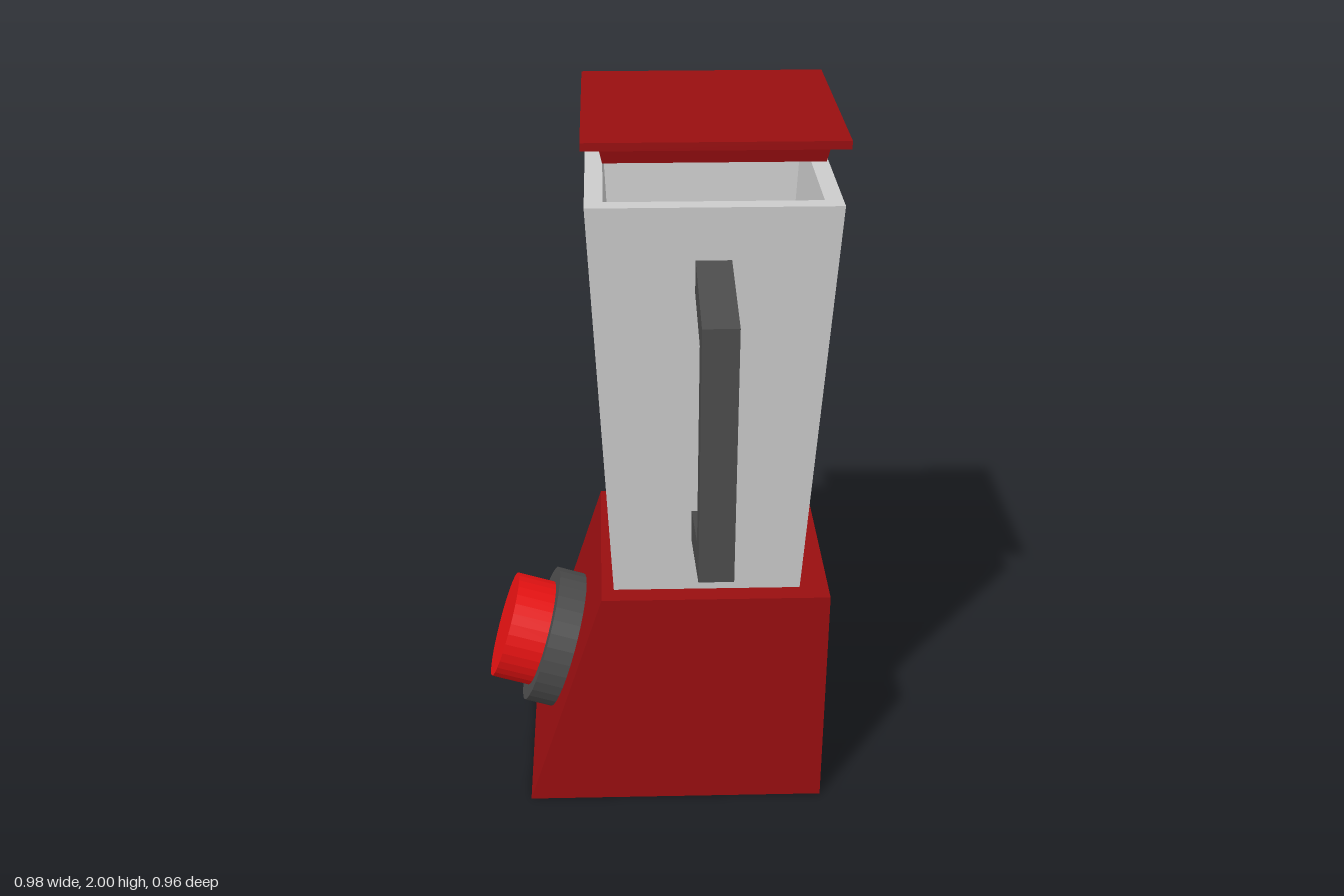
import * as THREE from 'three';

const CX = 0.147, CZ = -0.147; // shared axis of base, jug and lid

const material = (color) => new THREE.MeshStandardMaterial({ color, flatShading: true });
const red = material(0x980e10);
const brightRed = material(0xe61212);
const dark = material(0x4b4b4b);
const grey = material(0xcccccc);

function add(parent, name, geometry, mat) {
  const mesh = new THREE.Mesh(geometry, mat);
  mesh.name = name;
  parent.add(mesh);
  return mesh;
}

// Extrudes a closed outline of [x, y] points
function prism(points, depth) {
  const shape = new THREE.Shape(points.map(([x, y]) => new THREE.Vector2(x, y)));
  return new THREE.ExtrudeGeometry(shape, { depth, bevelEnabled: false });
}

// Square solid of revolution from [half width, y] points
function squareLathe(profile) {
  const points = profile.map(([half, y]) => new THREE.Vector2(half * Math.SQRT2, y));
  return new THREE.LatheGeometry(points, 4).rotateY(Math.PI / 4).translate(CX, 0, CZ);
}

export function createModel() {
  const model = new THREE.Group();
  model.name = 'blender';

  // Motor base with one sloping side
  const base = prism([[-0.367, 0], [0.49, 0], [0.49, 0.687], [-0.15, 0.687]], 0.64);
  add(model, 'base', base.translate(0, 0, CZ - 0.32), red);

  // Hollow tapered jug
  add(model, 'jug', squareLathe([
    [0, 0.687], [0.262, 0.687], [0.325, 1.832], [0.278, 1.832], [0.218, 0.735], [0, 0.735],
  ]), grey);

  // Handle on the front of the jug, outlined in z and y
  const handle = prism([
    [0.115, 0.853], [0.48, 0.932], [0.48, 1.635], [0.158, 1.692],
    [0.153, 1.603], [0.398, 1.557], [0.398, 1.003], [0.118, 0.943],
  ], 0.092);
  add(model, 'handle', handle.rotateY(-Math.PI / 2).translate(0.193, 0, 0), dark);

  // Lid floating above the jug: plate with a plug below
  const lid = new THREE.Group();
  lid.name = 'lid';
  add(lid, 'lidPlate', new THREE.BoxGeometry(0.664, 0.021, 0.664).translate(CX, 1.9895, CZ), red);
  add(lid, 'lidPlug', squareLathe([[0, 1.932], [0.278, 1.932], [0.288, 1.979]]), red);
  model.add(lid);

  // Dial standing square to the sloping side
  const dial = new THREE.Group();
  dial.name = 'dial';
  dial.position.set(-0.257, 0.351, CZ);
  dial.rotation.z = Math.atan2(0.687, 0.217);
  add(dial, 'dialRing', new THREE.CylinderGeometry(0.206, 0.206, 0.082, 32).translate(0, 0.041, 0), dark);
  add(dial, 'dialKnob', new THREE.CylinderGeometry(0.16, 0.16, 0.195, 32).translate(0, 0.0985, 0), brightRed);
  model.add(dial);

  return model;
}
